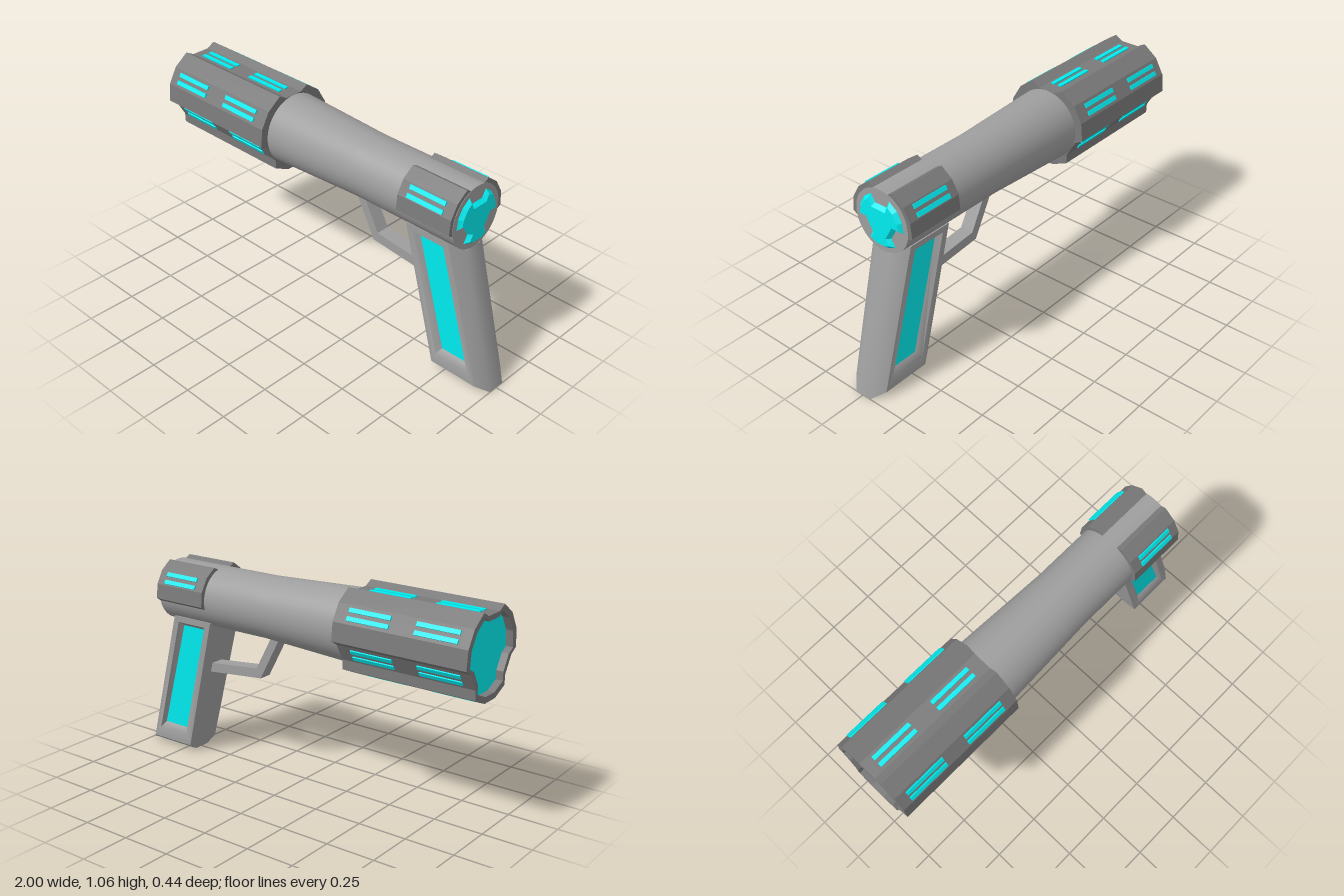
import * as THREE from 'three';
import { toCreasedNormals } from 'three/addons/utils/BufferGeometryUtils.js';

const AXIS_Y = 0.855; // height of the barrel axis

export function createModel() {
  const model = new THREE.Group();
  const lightGrey = new THREE.MeshStandardMaterial({ color: 0x9e9e9e });
  const darkGrey = new THREE.MeshStandardMaterial({ color: 0x7a7a7a });
  const cyan = new THREE.MeshStandardMaterial({ color: 0x00ecf0 });

  const add = (name, geometry, material, parent = model) => {
    const mesh = new THREE.Mesh(geometry, material);
    mesh.name = name;
    parent.add(mesh);
    return mesh;
  };

  // Three raised panels with a groove at the top and at both lower sides
  const lobedPoints = (r, grooveR, { grooveHalf = 15, bottomR = r } = {}) => {
    const points = [];
    const put = (deg, radius) => {
      const a = THREE.MathUtils.degToRad(deg);
      points.push(new THREE.Vector2(radius * Math.cos(a), radius * Math.sin(a)));
    };
    for (const groove of [90, 210, 330]) {
      put(groove - grooveHalf, grooveR);
      put(groove + grooveHalf, grooveR);
      for (const step of [24, 48, 72, 96]) put(groove + step, groove === 210 ? bottomR : r);
    }
    return points;
  };

  // Extrudes a section along x, starting at x0
  const alongX = (shape, x0, length, options = {}) =>
    new THREE.ExtrudeGeometry(shape, { depth: length, bevelEnabled: false, ...options })
      .rotateY(Math.PI / 2).translate(x0, AXIS_Y, 0);

  // Muzzle sleeve: solid body, open rim and glowing recessed disc
  const sleeve = new THREE.Shape(lobedPoints(0.22, 0.184));
  const rim = new THREE.Shape(lobedPoints(0.22, 0.184));
  const bore = lobedPoints(0.19, 0.158);
  rim.holes.push(new THREE.Path(bore));
  add('muzzleSleeve', alongX(sleeve, -0.96, 0.65), darkGrey);
  add('muzzleRim', alongX(rim, -1, 0.04), darkGrey);
  add('muzzleLens', alongX(new THREE.Shape(bore), -0.965, 0.01), cyan);

  // Tapered barrel
  const profile = [[0, -0.32], [0.177, -0.32], [0.177, -0.31], [0.155, 0.2], [0.155, 0.812], [0, 0.812]];
  const barrel = new THREE.LatheGeometry(profile.map(([r, x]) => new THREE.Vector2(r, x)), 48)
    .rotateZ(-Math.PI / 2).translate(0, AXIS_Y, 0);
  add('barrel', toCreasedNormals(barrel, 0.6), lightGrey);

  // Rear collar, with panels on the two upper sides only, and glowing end cap
  const collar = new THREE.Shape(lobedPoints(0.178, 0.15, { bottomR: 0.15 }));
  add('rearCollar', alongX(collar, 0.51, 0.3), darkGrey);
  const cap = new THREE.Shape(lobedPoints(0.132, 0.088, { grooveHalf: 21 }));
  add('endCap', alongX(cap, 0.805, 0.005, {
    bevelEnabled: true, bevelThickness: 0.02, bevelSize: 0.018, bevelOffset: -0.018, bevelSegments: 1,
  }), cyan);

  // Pairs of light strips lying on a panel or groove
  const addStrips = (x0, x1, deg, radius) => {
    const pair = new THREE.Group();
    pair.name = 'lightStrips';
    pair.position.set((x0 + x1) / 2, AXIS_Y, 0);
    pair.rotation.x = THREE.MathUtils.degToRad(90 - deg);
    for (const side of [-1, 1]) {
      add('lightStrip', new THREE.BoxGeometry(x1 - x0, 0.016, 0.021), cyan, pair)
        .position.set(0, radius, side * 0.02);
    }
    model.add(pair);
  };
  for (let i = 0; i < 6; i++) {
    const radius = i % 2 ? 0.176 : 0.215;
    addStrips(-0.945, -0.73, 30 + i * 60, radius);
    addStrips(-0.6, -0.38, 30 + i * 60, radius);
  }
  for (const deg of [30, 150]) addStrips(0.56, 0.76, deg, 0.174);

  // Trigger guard
  const guard = new THREE.Shape([
    [0.13, 0.72], [0.255, 0.485], [0.61, 0.45], [0.61, 0.498], [0.28, 0.533], [0.18, 0.72],
  ].map(([x, y]) => new THREE.Vector2(x, y)));
  add('triggerGuard', new THREE.ExtrudeGeometry(guard, { depth: 0.07, bevelEnabled: false })
    .translate(0, 0, -0.035), lightGrey);

  // Grip: slanted, with chamfered back and bottom edges
  const TOP = 0.74, LOW = 0.035;
  const halfWidth = (y) => 0.097 + 0.018 * y;
  const frontX = (y) => 0.7 - 0.25 * y;
  const sideBackX = (y) => 0.955 - 0.27 * y;
  const backX = (y) => 1 - 0.27 * y;

  const polygonGeometry = (polygons) => {
    const positions = [];
    for (const p of polygons) {
      for (let i = 1; i < p.length - 1; i++) positions.push(...p[0], ...p[i], ...p[i + 1]);
    }
    const geometry = new THREE.BufferGeometry();
    geometry.setAttribute('position', new THREE.Float32BufferAttribute(positions, 3));
    geometry.computeVertexNormals();
    return toCreasedNormals(geometry, 0.8);
  };
  const gripRing = (y, backY) => {
    const w = halfWidth(y);
    return [
      [frontX(y), y, w], [sideBackX(y), y, w], [backX(backY), backY, 0.045],
      [backX(backY), backY, -0.045], [sideBackX(y), y, -w], [frontX(y), y, -w],
    ];
  };
  const low = gripRing(LOW, LOW);
  const top = gripRing(TOP, 0.7);
  const base = [[0.7, 0, 0.045], [1, 0, 0.045], [1, 0, -0.045], [0.7, 0, -0.045]];
  const faces = [
    [...base].reverse(),
    top,
    [base[0], base[1], low[1], low[0]], // bottom chamfers
    [base[2], base[3], low[5], low[4]],
    [base[1], low[2], low[1]], // back corners
    [base[2], low[4], low[3]],
    [base[1], base[2], low[3], low[2]], // back and front feet
    [base[3], base[0], low[0], low[5]],
  ];
  for (const i of [1, 2, 3, 5]) {
    const j = (i + 1) % 6;
    faces.push([low[i], low[j], top[j], top[i]]);
  }

  // Grip sides: a frame sloping down to a sunken glowing panel
  const panels = [];
  for (const side of [1, -1]) {
    const place = (corners, depth) => corners.map(([x, y]) => [x, y, side * (halfWidth(y) - depth)]);
    const facing = (p) => (side > 0 ? p : [...p].reverse());
    const frames = [
      place([[frontX(LOW), LOW], [sideBackX(LOW), LOW], [sideBackX(TOP), TOP], [frontX(TOP), TOP]], 0),
      place([[0.712, 0.092], [0.9, 0.092], [0.73, 0.71], [0.555, 0.71]], 0),
      place([[0.732, 0.122], [0.88, 0.122], [0.715, 0.69], [0.58, 0.69]], 0.025),
    ];
    for (let k = 0; k < 2; k++) {
      for (let i = 0; i < 4; i++) {
        const j = (i + 1) % 4;
        faces.push(facing([frames[k][i], frames[k][j], frames[k + 1][j], frames[k + 1][i]]));
      }
    }
    panels.push(facing(frames[2]));
  }
  add('grip', polygonGeometry(faces), lightGrey);
  add('gripPanels', polygonGeometry(panels), cyan);

  return model;
}
